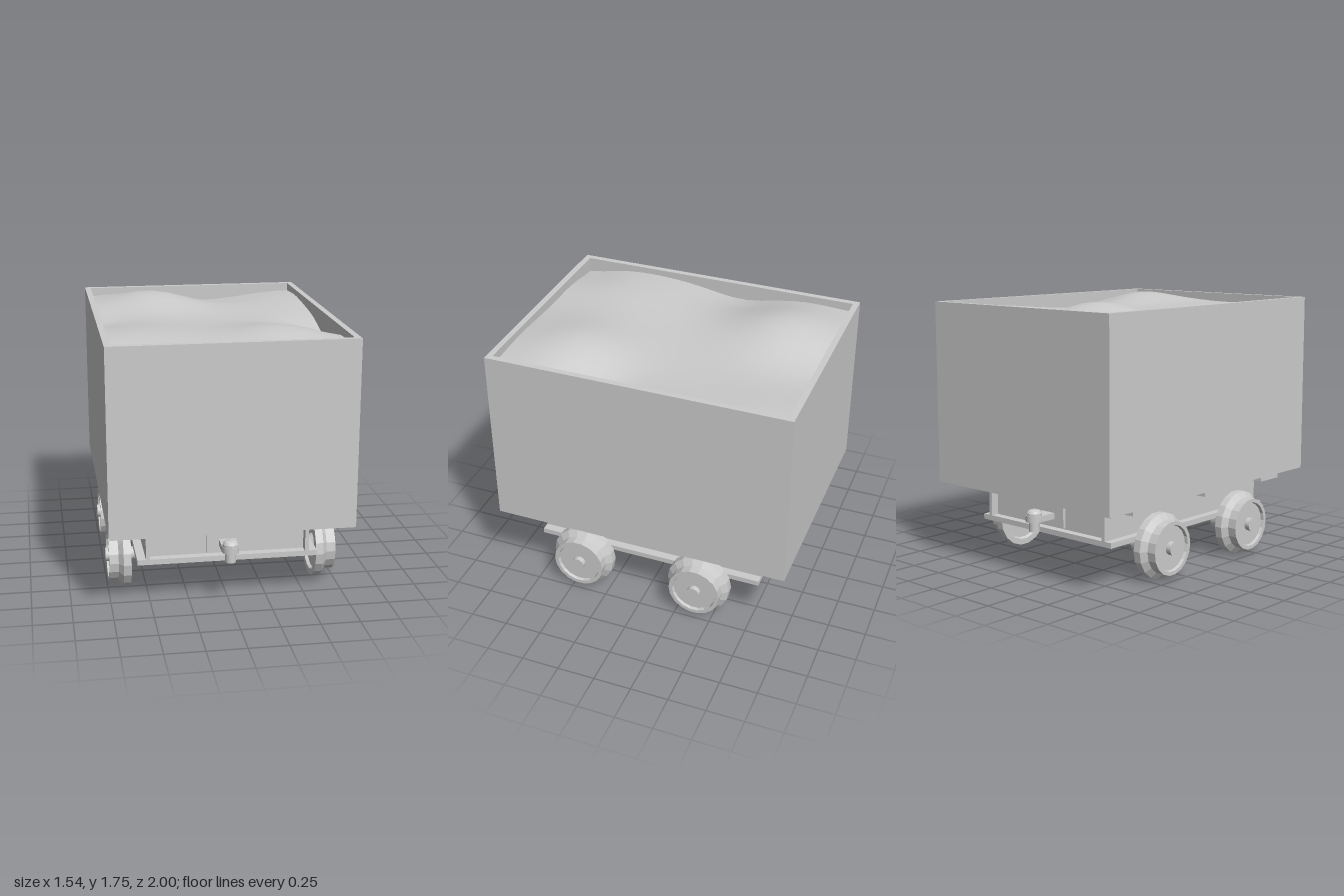
import * as THREE from 'three';

const grey = new THREE.MeshStandardMaterial({ color: 0xcccccc });
const flat = new THREE.MeshStandardMaterial({ color: 0xcccccc, flatShading: true });

function add(parent, name, geometry, x = 0, y = 0, z = 0, material = grey) {
  const mesh = new THREE.Mesh(geometry, material);
  mesh.name = name;
  mesh.position.set(x, y, z);
  parent.add(mesh);
  return mesh;
}

// Box given by its min and max corners
function block(parent, name, x0, x1, y0, y1, z0, z1) {
  return add(parent, name, new THREE.BoxGeometry(x1 - x0, y1 - y0, z1 - z0),
    (x0 + x1) / 2, (y0 + y1) / 2, (z0 + z1) / 2);
}

// Horizontal rectangular frame, open in the middle
function frame(parent, name, hx, hz, ix, iz, y0, y1) {
  const rect = (S, a, b) => new S([[-a, -b], [a, -b], [a, b], [-a, b]].map(p => new THREE.Vector2(...p)));
  const shape = rect(THREE.Shape, hx, hz);
  shape.holes.push(rect(THREE.Path, ix, iz));
  const g = new THREE.ExtrudeGeometry(shape, { depth: y1 - y0, bevelEnabled: false });
  g.rotateX(-Math.PI / 2);
  return add(parent, name, g, 0, y0, 0);
}

const lathe = (points, sides) =>
  new THREE.LatheGeometry(points.map(p => new THREE.Vector2(...p)), sides);

// Height of the heaped load
function loadHeight(x, z) {
  const bumps = [
    [-0.31, -0.62, 0.105, 0.25], [0.37, 0.58, 0.085, 0.25], [-0.5, 0.5, 0.04, 0.3],
    [0.73, 0.25, -0.09, 0.2], [0.73, -0.7, 0.03, 0.25], [-0.73, -0.2, -0.05, 0.2],
    [0.05, -0.96, -0.05, 0.25], [-0.73, 0.96, -0.04, 0.15],
  ];
  return bumps.reduce((h, [bx, bz, a, s]) =>
    h + a * Math.exp(-((x - bx) ** 2 + (z - bz) ** 2) / (2 * s * s)), 1.66);
}

function createBody() {
  const body = new THREE.Group();
  body.name = 'body';
  frame(body, 'tubWalls', 0.77, 1, 0.73, 0.96, 0.53, 1.73);
  block(body, 'tubFloor', -0.73, 0.73, 0.53, 0.57, -0.96, 0.96);

  const heap = new THREE.PlaneGeometry(1.46, 1.92, 14, 18);
  heap.rotateX(-Math.PI / 2);
  const p = heap.attributes.position;
  for (let i = 0; i < p.count; i++) p.setY(i, loadHeight(p.getX(i), p.getZ(i)));
  heap.computeVertexNormals();
  add(body, 'load', heap);

  // Cross bearers under the tub
  for (const z of [0.667, 0.047, -0.657])
    block(body, 'crossBearer', -0.735, 0.69, 0.49, 0.53, z - 0.0975, z + 0.0975);
  return body;
}

function createChassis() {
  const chassis = new THREE.Group();
  chassis.name = 'chassis';
  frame(chassis, 'topFlange', 0.58, 0.78, 0.42, 0.62, 0.455, 0.49);
  frame(chassis, 'bottomFlange', 0.58, 0.78, 0.42, 0.62, 0.265, 0.3);
  for (const s of [-1, 1]) {
    const web = block(chassis, 'sideWeb', 0.5, 0.525, 0.3, 0.455, -0.78, 0.78);
    web.position.x *= s;
    const end = block(chassis, 'endWeb', -0.5, 0.5, 0.3, 0.455, 0.7, 0.725);
    end.position.z *= s;
  }
  return chassis;
}

// Coupling at one end, pointing to +z
function createCoupling() {
  const coupling = new THREE.Group();
  coupling.name = 'coupling';
  block(coupling, 'couplingPlate', -0.135, 0.135, 0.31, 0.445, 0.725, 0.745);
  block(coupling, 'drawBar', -0.055, 0.055, 0.36, 0.4, 0.745, 0.87);
  add(coupling, 'drawBarEye', new THREE.CylinderGeometry(0.055, 0.055, 0.04, 16), 0, 0.38, 0.87);
  add(coupling, 'pin', new THREE.CylinderGeometry(0.035, 0.035, 0.11, 16), 0, 0.35, 0.87);
  add(coupling, 'pinHead', lathe([[0, 0.4], [0.05, 0.4], [0.05, 0.415], [0.04, 0.43], [0.02, 0.437], [0, 0.438]], 16),
    0, 0, 0.87, flat);
  return coupling;
}

// Wheel profile as radius and distance along the axle
const wheelProfile = [
  [0, 0.625], [0.165, 0.625], [0.175, 0.605], [0.215, 0.605], [0.215, 0.655], [0.175, 0.685],
  [0.175, 0.745], [0.15, 0.745], [0.145, 0.725], [0, 0.725],
];

function createWheelSet() {
  const set = new THREE.Group();
  set.name = 'wheelSet';
  const axle = new THREE.CylinderGeometry(0.044, 0.044, 1.52, 18);
  axle.rotateZ(Math.PI / 2);
  add(set, 'axle', axle);
  for (const s of [-1, 1]) {
    // Half turn about y makes the opposite side
    const side = new THREE.Group();
    side.name = 'axleSide';
    side.rotation.y = s > 0 ? 0 : Math.PI;
    set.add(side);
    const wheel = lathe(wheelProfile, 18);
    wheel.rotateZ(-Math.PI / 2);
    add(side, 'wheel', wheel, 0, 0, 0, flat);
    const collar = new THREE.CylinderGeometry(0.07, 0.044, 0.035, 18);
    collar.rotateZ(-Math.PI / 2);
    add(side, 'wheelCollar', collar, 0.61, 0, 0);
    // Bearing hung under the frame
    const bearing = new THREE.CylinderGeometry(0.08, 0.08, 0.09, 18);
    bearing.rotateZ(Math.PI / 2);
    add(side, 'bearing', bearing, 0.505, 0, 0);
    block(side, 'bearingBlock', 0.46, 0.55, 0, 0.05, -0.08, 0.08);
  }
  return set;
}

export function createModel() {
  const model = new THREE.Group();
  model.name = 'mineCart';
  model.add(createBody(), createChassis());

  const front = createCoupling();
  const back = createCoupling();
  back.rotation.y = Math.PI;
  model.add(front, back);

  for (const z of [0.445, -0.385]) {
    const set = createWheelSet();
    set.position.set(0, 0.217, z);
    model.add(set);
  }
  return model;
}
